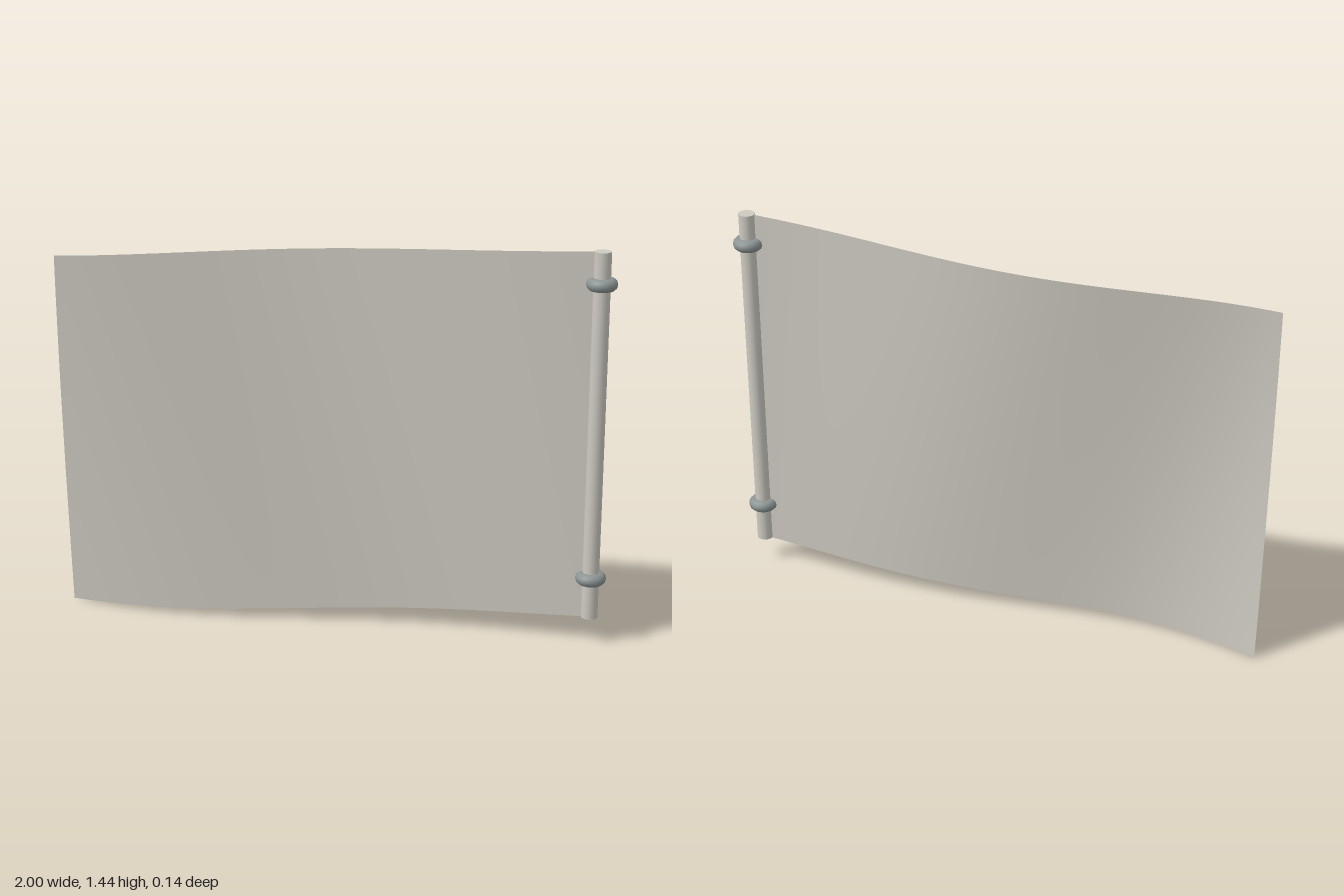
import * as THREE from 'three';

const POLE_X = 0.94, POLE_Z = -0.02, HEIGHT = 1.345, DROP = 0.095;

// Cloth sheet: ripples grow away from the pole and shift with height
function clothGeometry() {
  const geo = new THREE.PlaneGeometry(1, 1, 48, 24);
  const pos = geo.attributes.position;
  for (let i = 0; i < pos.count; i++) {
    const u = 0.5 - pos.getX(i); // 0 at the pole, 1 at the free edge
    const v = pos.getY(i) + 0.5; // 0 at the bottom, 1 at the top
    pos.setXYZ(
      i,
      POLE_X - u * (1 + POLE_X),
      DROP * (1 - u) + HEIGHT * v,
      POLE_Z + 0.09 * u * Math.sin(5.5 * (u - 0.45 - 0.23 * v))
    );
  }
  geo.computeVertexNormals();
  return geo;
}

export function createModel() {
  const clothColor = new THREE.MeshStandardMaterial({ color: 0xcdcac1, side: THREE.DoubleSide });
  clothColor.name = 'pale cloth';
  const ringColor = new THREE.MeshStandardMaterial({ color: 0x8c9494 });
  ringColor.name = 'grey metal';

  const model = new THREE.Group();
  model.name = 'flag';
  const add = (name, geometry, material, x = 0, y = 0, z = 0) => {
    const mesh = new THREE.Mesh(geometry, material);
    mesh.name = name;
    mesh.position.set(x, y, z);
    model.add(mesh);
    return mesh;
  };

  add('cloth', clothGeometry(), clothColor);

  // Sleeve along the hoist edge
  add('sleeve', new THREE.CylinderGeometry(0.03, 0.03, HEIGHT, 16), clothColor,
    POLE_X, DROP + HEIGHT / 2, POLE_Z);

  // Two rings around the sleeve
  for (const [name, y] of [['lowerRing', 0.245], ['upperRing', 1.325]]) {
    const ring = add(name, new THREE.TorusGeometry(0.032, 0.023, 12, 24), ringColor, POLE_X, y, POLE_Z);
    ring.rotation.x = Math.PI / 2;
  }
  return model;
}
